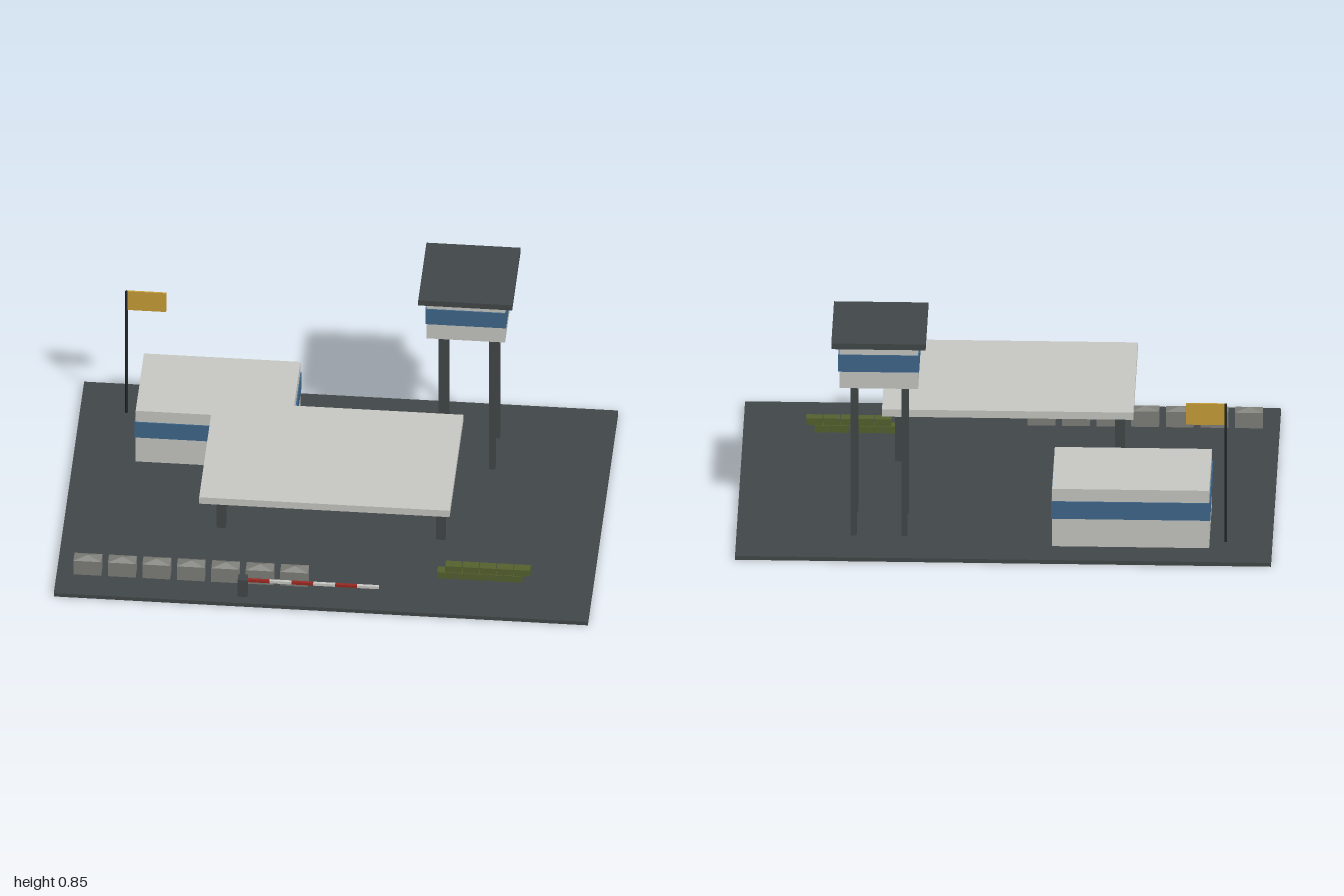
import * as THREE from 'three';

const paint = (name, color) => {
  const m = new THREE.MeshStandardMaterial({ color });
  m.name = name;
  return m;
};

export function createModel() {
  const dark = paint('dark steel', 0x424849);
  const white = paint('off white wall', 0xc8c9c4);
  const blue = paint('blue glass', 0x40688c);
  const grey = paint('concrete', 0x7f7f7a);
  const green = paint('olive sandbag', 0x56622f);
  const gold = paint('gold flag', 0xc9a038);
  const red = paint('red stripe', 0x9a2a22);
  const black = paint('black pole', 0x23282a);

  const model = new THREE.Group();
  model.name = 'checkpoint';

  const group = (name) => {
    const g = new THREE.Group();
    g.name = name;
    model.add(g);
    return g;
  };
  const add = (parent, name, geometry, material, x, y, z) => {
    const mesh = new THREE.Mesh(geometry, material);
    mesh.name = name;
    mesh.position.set(x, y, z);
    parent.add(mesh);
    return mesh;
  };
  // Box placed by its bottom height y
  const box = (parent, name, material, w, h, d, x, y, z) =>
    add(parent, name, new THREE.BoxGeometry(w, h, d), material, x, y + h / 2, z);

  const ground = 0.016;
  box(model, 'basePlate', dark, 2, ground, 1.29, 0, 0, 0);

  // Office with a wraparound window band
  const office = group('office');
  box(office, 'officeWalls', white, 0.586, 0.239, 0.35, -0.473, ground, -0.354);
  box(office, 'officeWindowBand', blue, 0.594, 0.072, 0.358, -0.473, 0.132, -0.354);

  // Canopy on two columns
  const canopy = group('canopy');
  box(canopy, 'canopyRoof', white, 0.938, 0.03, 0.586, -0.002, 0.34, 0.178);
  for (const x of [-0.413, 0.409])
    box(canopy, 'canopyColumn', dark, 0.035, 0.34 - ground, 0.035, x, ground, 0.178);

  // Watchtower
  const tower = group('watchtower');
  const tx = 0.468, tz = -0.354;
  for (const sx of [-1, 1])
    for (const sz of [-1, 1])
      box(tower, 'towerLeg', dark, 0.023, 0.65 - ground, 0.023, tx + sx * 0.095, ground, tz + sz * 0.095);
  box(tower, 'towerCabin', white, 0.294, 0.176, 0.294, tx, 0.65, tz);
  box(tower, 'towerWindowBand', blue, 0.302, 0.07, 0.302, tx, 0.72, tz);
  box(tower, 'towerRoof', dark, 0.352, 0.024, 0.352, tx, 0.826, tz);

  // Flag on its pole
  const flag = group('flagpole');
  add(flag, 'pole', new THREE.CylinderGeometry(0.005, 0.005, 0.574, 8), black, -0.826, ground + 0.287, -0.472);
  box(flag, 'flag', gold, 0.145, 0.088, 0.006, -0.75, 0.503, -0.472);

  // Concrete blocks with shallow pyramid caps
  const blocks = group('roadBlocks');
  const cap = new THREE.ConeGeometry(Math.SQRT1_2, 1, 4, 1, true).toNonIndexed();
  cap.rotateY(Math.PI / 4);
  cap.scale(0.104, 0.013, 0.05);
  cap.computeVertexNormals();
  for (let i = 0; i < 7; i++) {
    const x = -0.885 + i * 0.129;
    box(blocks, 'roadBlock', grey, 0.104, 0.064, 0.05, x, ground, 0.5);
    add(blocks, 'roadBlockCap', cap, grey, x, 0.0865, 0.5);
  }

  // Striped barrier arm
  const barrier = group('barrier');
  box(barrier, 'barrierPost', dark, 0.036, 0.078, 0.036, -0.297, ground, 0.588);
  for (let i = 0; i < 6; i++)
    box(barrier, 'barrierStripe', i % 2 ? white : red, 0.082, 0.011, 0.011, -0.238 + i * 0.082, 0.077, 0.588);

  // Two staggered courses of sandbags
  const sandbags = group('sandbags');
  for (let row = 0; row < 2; row++)
    for (let i = 0; i < 5; i++)
      box(sandbags, 'sandbag', green, 0.061, 0.028, 0.035, 0.447 + i * 0.0642 + row * 0.03, ground + row * 0.03, 0.411);

  return model;
}
